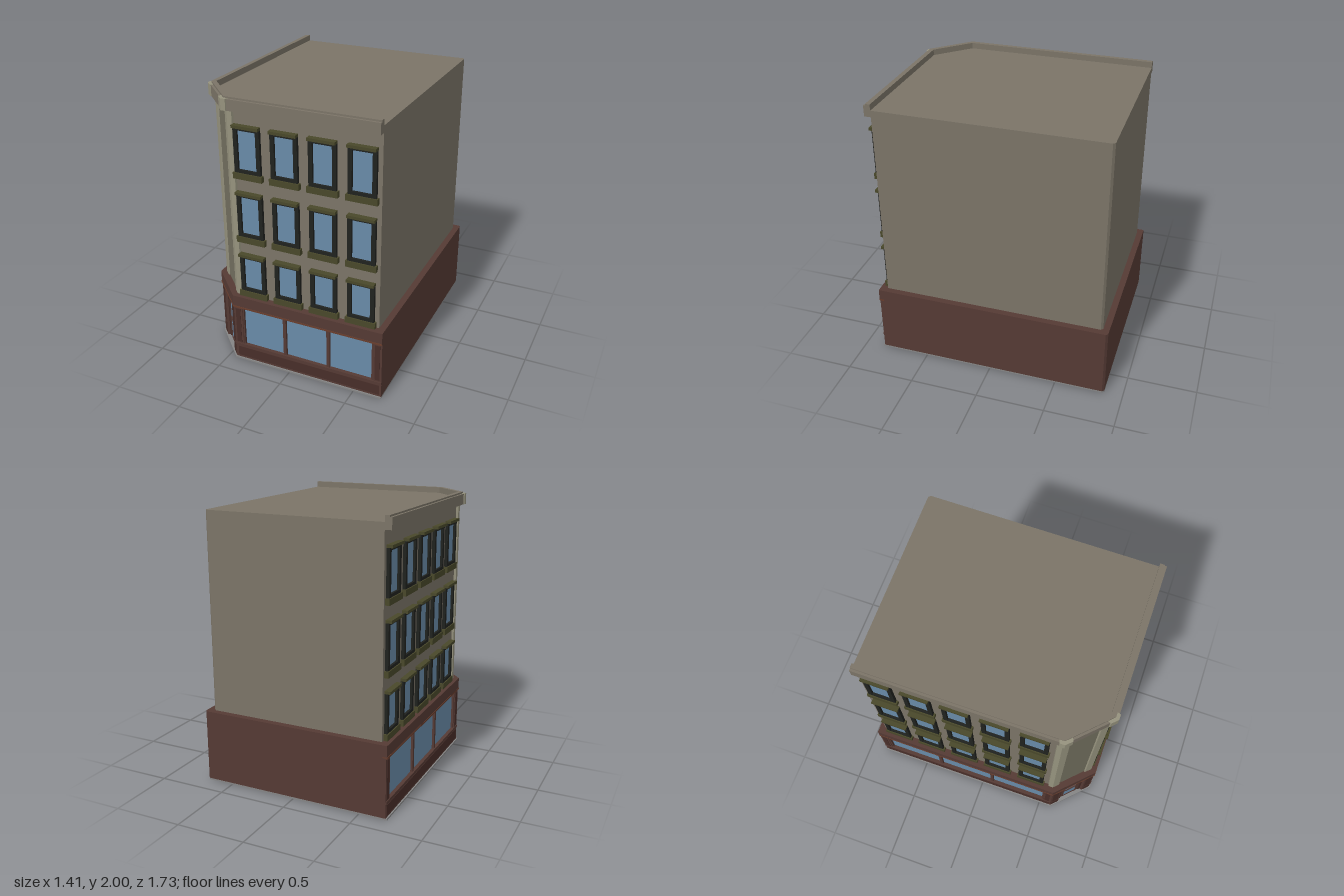
import * as THREE from 'three';

const mat = (name, color) => {
  const m = new THREE.MeshStandardMaterial({ color });
  m.name = name;
  return m;
};

export function createModel() {
  const wall = mat('wall stone', 0x7b7467);
  const cornerStone = mat('corner wall stone', 0x747160);
  const lightStone = mat('light stone', 0x96937e);
  const olive = mat('olive sill', 0x49482a);
  const dark = mat('dark frame', 0x20221f);
  const glass = mat('glass', 0x688aa8);
  const brown = mat('brown shopfront', 0x553a34);
  const deepBrown = mat('deep brown panel', 0x482e29);
  const rust = mat('rust trim', 0x693d2c);
  const slabGrey = mat('slab grey', 0x858585);

  const root = new THREE.Group();
  root.name = 'cornerBuilding';
  const UP = { xr: 0.66, zb: -0.82 };
  const LOW = { xr: 0.705, zb: -0.865 };

  // Street-side path (left wall, cut corner, front wall), moved outward by o
  const street = (o, e) => {
    const c = 1.217 + o * Math.SQRT2, x = -0.645 - o, z = 0.8 + o;
    return [[x, e.zb], [x, c + x], [z - c, z], [e.xr, z]].map(p => new THREE.Vector2(p[0], -p[1]));
  };
  // Upright prism over a plan outline
  const prism = (name, m, pts, y0, y1) => {
    const g = new THREE.ExtrudeGeometry(new THREE.Shape(pts), { depth: y1 - y0, bevelEnabled: false });
    g.rotateX(-Math.PI / 2).translate(0, y0, 0);
    const mesh = new THREE.Mesh(g, m);
    mesh.name = name;
    root.add(mesh);
  };
  // Full block with a slightly cut back corner
  const block = (name, m, o, e, y0, y1) => prism(name, m, [...street(o, e),
    new THREE.Vector2(e.xr, -e.zb - 0.015), new THREE.Vector2(e.xr - 0.015, -e.zb)], y0, y1);
  // Mitred band along both streets
  const band = (name, m, o0, o1, e, y0, y1) =>
    prism(name, m, [...street(o1, e), ...street(o0, e).reverse()], y0, y1);
  // Mitred post wrapping street corner 1 or 2; la and lb are its leg lengths
  const post = (name, m, i, la, lb, o0, o1, e, y0, y1) => {
    const leg = o => {
      const p = street(o, e);
      const toward = (q, l) => q.clone().sub(p[i]).setLength(l).add(p[i]);
      return [toward(p[i - 1], la), p[i], toward(p[i + 1], lb)];
    };
    prism(name, m, [...leg(o1), ...leg(o0).reverse()], y0, y1);
  };

  // Wall frames: local x runs along the wall, local z points outward
  const face = (name, x, z, angle) => {
    const g = new THREE.Group();
    g.name = name;
    g.position.set(x, 0, z);
    g.rotation.y = angle;
    root.add(g);
    return g;
  };
  const front = face('frontFacade', 0, 0.8, 0);
  const left = face('sideFacade', -0.645, 0, -Math.PI / 2);
  const corner = face('cornerFacade', -0.531, 0.686, -Math.PI / 4);
  const box = (parent, name, m, x0, x1, y0, y1, z0, z1) => {
    const mesh = new THREE.Mesh(new THREE.BoxGeometry(x1 - x0, y1 - y0, z1 - z0), m);
    mesh.position.set((x0 + x1) / 2, (y0 + y1) / 2, (z0 + z1) / 2);
    mesh.name = name;
    parent.add(mesh);
  };

  // Main volumes
  block('groundSlab', slabGrey, 0.06, LOW, 0, 0.012);
  block('shopBody', brown, 0.02, LOW, 0.012, 0.53);
  block('upperBody', wall, 0, UP, 0.53, 1.957);

  // Cornice and parapet
  band('parapet', wall, 0, 0.032, UP, 1.91, 2);
  band('cornice', wall, 0.03, 0.048, UP, 1.91, 1.988);
  box(corner, 'cornerWallPanel', cornerStone, -0.155, 0.155, 0.53, 1.91, 0, 0.005);

  // Corner pilasters with capitals, and shopfront corner posts
  for (const i of [1, 2]) {
    const [a, b] = i === 1 ? [0.035, 0.055] : [0.055, 0.035];
    post('cornerPilaster', lightStone, i, a, b, 0, 0.015, UP, 0.53, 1.91);
    post('pilasterCapital', lightStone, i, a, b, 0.03, 0.055, UP, 1.91, 1.99);
    const [c, d] = i === 1 ? [0.065, 0.075] : [0.075, 0.065];
    post('shopCornerPost', brown, i, c, d, 0.02, 0.05, LOW, 0.012, 0.445);
  }

  // Shopfront fascia
  band('fascia', brown, 0.02, 0.055, LOW, 0.445, 0.53);
  band('fasciaTrim', rust, 0.02, 0.058, LOW, 0.437, 0.449);

  // Upper windows
  const rows = [[0.575, 0.86], [1.005, 1.33], [1.48, 1.805]];
  const sashWindow = (f, cx, y0, y1) => {
    const g = new THREE.Group();
    g.name = 'window';
    g.position.x = cx;
    f.add(g);
    box(g, 'pane', glass, -0.075, 0.075, y0 + 0.01, y1 - 0.02, 0, 0.005);
    for (const s of [-1, 1])
      box(g, 'frameSide', dark, s * 0.083 - 0.0145, s * 0.083 + 0.0145, y0, y1, 0, 0.022);
    box(g, 'frameTop', dark, -0.07, 0.07, y1 - 0.028, y1, 0, 0.022);
    box(g, 'frameBottom', dark, -0.07, 0.07, y0, y0 + 0.022, 0, 0.022);
    box(g, 'sill', olive, -0.109, 0.109, y0 - 0.044, y0, 0, 0.03);
    box(g, 'lintel', olive, -0.098, 0.098, y1 - 0.01, y1 + 0.01, 0, 0.042);
  };
  for (const [y0, y1] of rows) {
    for (let i = 0; i < 4; i++) sashWindow(front, -0.285 + i * 0.272, y0, y1);
    for (let i = 0; i < 5; i++) sashWindow(left, -0.69 + i * 0.272, y0, y1);
  }

  // Shop windows; a to b is the wall length, endSign marks the plain end
  const shopfront = (f, a, b, endSign) => {
    const g0 = a + 0.065, g1 = b - 0.065;
    const [p0, p1] = endSign > 0 ? [g1, b] : [a, g0];
    box(f, 'endPost', brown, p0, p1, 0.012, 0.445, 0.02, 0.05);
    box(f, 'shopGlass', glass, g0, g1, 0.13, 0.43, 0.02, 0.028);
    box(f, 'windowHead', brown, g0, g1, 0.43, 0.445, 0.02, 0.045);
    box(f, 'bulkhead', brown, g0, g1, 0.012, 0.115, 0.02, 0.05);
    box(f, 'bulkheadPanel', deepBrown, a + 0.02, b - 0.015, 0.028, 0.103, 0.046, 0.053);
    box(f, 'windowLedge', brown, a, b, 0.115, 0.132, 0.02, 0.055);
    for (const [u, v] of [[a, g0], [g1, b]])
      box(f, 'postPanel', deepBrown, u + 0.014, v - 0.014, 0.145, 0.425, 0.046, 0.053);
    for (let i = 0; i < 4; i++) {
      const x = g0 + (g1 - g0) * i / 3;
      box(f, 'mullion', brown, x - 0.012, x + 0.012, 0.13, 0.435, 0.02, 0.045);
    }
  };
  shopfront(front, -0.438, LOW.xr, 1);
  shopfront(left, LOW.zb, 0.59, -1);

  // Recessed corner door
  for (const s of [-1, 1]) {
    const x = s * 0.144;
    box(corner, 'cornerPanel', deepBrown, x - 0.025, x + 0.025, 0.135, 0.425, 0.046, 0.053);
    box(corner, 'cornerBasePanel', deepBrown, x - 0.025, x + 0.025, 0.025, 0.11, 0.046, 0.053);
    box(corner, 'doorJamb', deepBrown, s * 0.095 - 0.013, s * 0.095 + 0.013, 0.012, 0.445, 0.02, 0.034);
    box(corner, 'doorStile', brown, s * 0.068 - 0.014, s * 0.068 + 0.014, 0.02, 0.43, 0.02, 0.03);
  }
  for (const [y0, y1] of [[0.012, 0.03], [0.18, 0.207], [0.42, 0.437]])
    box(corner, 'doorRail', brown, -0.06, 0.06, y0, y1, 0.02, 0.03);
  box(corner, 'doorUpperGlass', glass, -0.056, 0.056, 0.207, 0.42, 0.02, 0.025);
  box(corner, 'doorLowerGlass', glass, -0.056, 0.056, 0.03, 0.18, 0.02, 0.025);

  return root;
}
